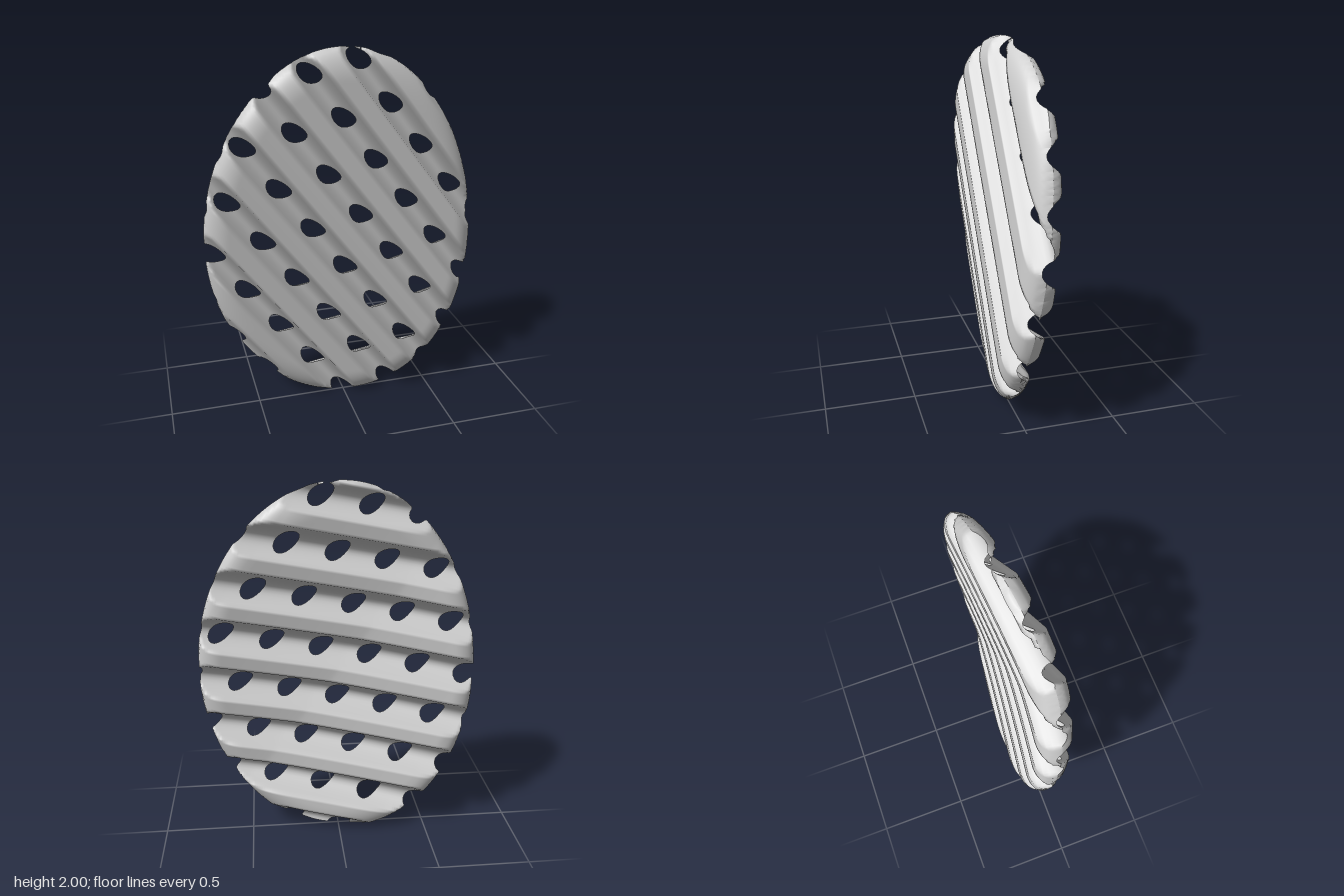
import * as THREE from 'three';
import { mergeVertices } from 'three/addons/utils/BufferGeometryUtils.js';

// Lattice of the crossing grooves: front grooves run along B, back grooves along A
const A = [0.267, 0.056], B = [0.178, -0.236], ORIGIN = [0, 0.822];
const STEPS = 20;          // samples per groove period
const FRONT = 0.13;        // highest front ridge
const HALF = 0.083;        // front ridge height above the middle of the slice
const DEPTH = 0.107;       // groove depth, more than half the thickness
const RIM = 0.16;          // width of the rounded rim, as a share of the radius

const toXY = (s, t) => [ORIGIN[0] + s * A[0] + t * B[0], ORIGIN[1] + s * A[1] + t * B[1]];

// Round-bottomed groove centred on whole numbers, 1 at its floor and 0 on the ridge
function groove(u, halfWidth) {
  const q = Math.abs(u - Math.round(u)) / halfWidth;
  return q < 1 ? 1 - q * q : 0;
}

// Front and back skins at a lattice position
function sample(s, t) {
  const [x, y] = toXY(s, t);
  // the slice curls backwards on both sides of its middle front ridge
  const bend = Math.abs(s - 0.43);
  const mid = FRONT - HALF - 0.0165 * Math.pow(bend, 1.6);
  const backHalf = Math.max(HALF, mid + 0.054 + 0.0185 * Math.pow(bend, 1.3));
  const e = (1 - Math.hypot(x / 0.752, (y - 0.998) / 1.003)) / RIM;
  const rim = e <= 0 ? e : Math.sqrt(1 - (1 - Math.min(e, 1)) ** 2);
  const front = mid + Math.min(HALF * rim, HALF - DEPTH * groove(s, 0.3));
  const backDepth = DEPTH + backHalf - HALF;
  const rear = mid - Math.min(backHalf * rim, backHalf - backDepth * groove(t, 0.35));
  return { s, t, x, y, front, rear, thick: front - rear };
}

// Point between a solid and an empty sample where both skins meet
function meeting(p, q) {
  let a = p, b = q;
  for (let i = 0; i < 22; i++) {
    const m = sample((a.s + b.s) / 2, (a.t + b.t) / 2);
    if (m.thick > 0) a = m; else b = m;
  }
  const z = (a.front + a.rear) / 2;
  return { ...a, front: z, rear: z };
}

// Keep only the solid part of a triangle
function clip(tri) {
  const out = [];
  tri.forEach((p, i) => {
    const q = tri[(i + 1) % 3];
    if (p.thick > 0) out.push(p);
    if ((p.thick > 0) !== (q.thick > 0)) out.push(p.thick > 0 ? meeting(p, q) : meeting(q, p));
  });
  return out;
}

function skinMesh(name, positions, material) {
  let geometry = new THREE.BufferGeometry();
  geometry.setAttribute('position', new THREE.Float32BufferAttribute(positions, 3));
  geometry = mergeVertices(geometry, 1e-5);
  geometry.computeVertexNormals();
  const mesh = new THREE.Mesh(geometry, material);
  mesh.name = name;
  return mesh;
}

export function createModel() {
  const group = new THREE.Group();
  group.name = 'waffleCutSlice';
  const material = new THREE.MeshStandardMaterial({ color: 0xcccccc, side: THREE.DoubleSide });

  // Samples on a grid that follows both groove directions
  const R = 6 * STEPS, grid = [];
  for (let i = -R; i <= R; i++) {
    const row = [];
    for (let j = -R; j <= R; j++) row.push(sample(i / STEPS, j / STEPS));
    grid.push(row);
  }

  const front = [], back = [];
  const addTriangle = (a, b, c) => {
    const poly = clip([a, b, c]);
    for (let k = 1; k + 1 < poly.length; k++) {
      const tri = [poly[0], poly[k], poly[k + 1]];
      for (const p of tri) front.push(p.x, p.y, p.front);
      for (const p of tri.reverse()) back.push(p.x, p.y, p.rear);
    }
  };
  for (let i = 0; i < 2 * R; i++) {
    for (let j = 0; j < 2 * R; j++) {
      const a = grid[i][j], b = grid[i][j + 1], c = grid[i + 1][j + 1], d = grid[i + 1][j];
      addTriangle(a, b, d);
      addTriangle(b, c, d);
    }
  }

  group.add(skinMesh('frontRidges', front, material), skinMesh('backRidges', back, material));
  return group;
}
